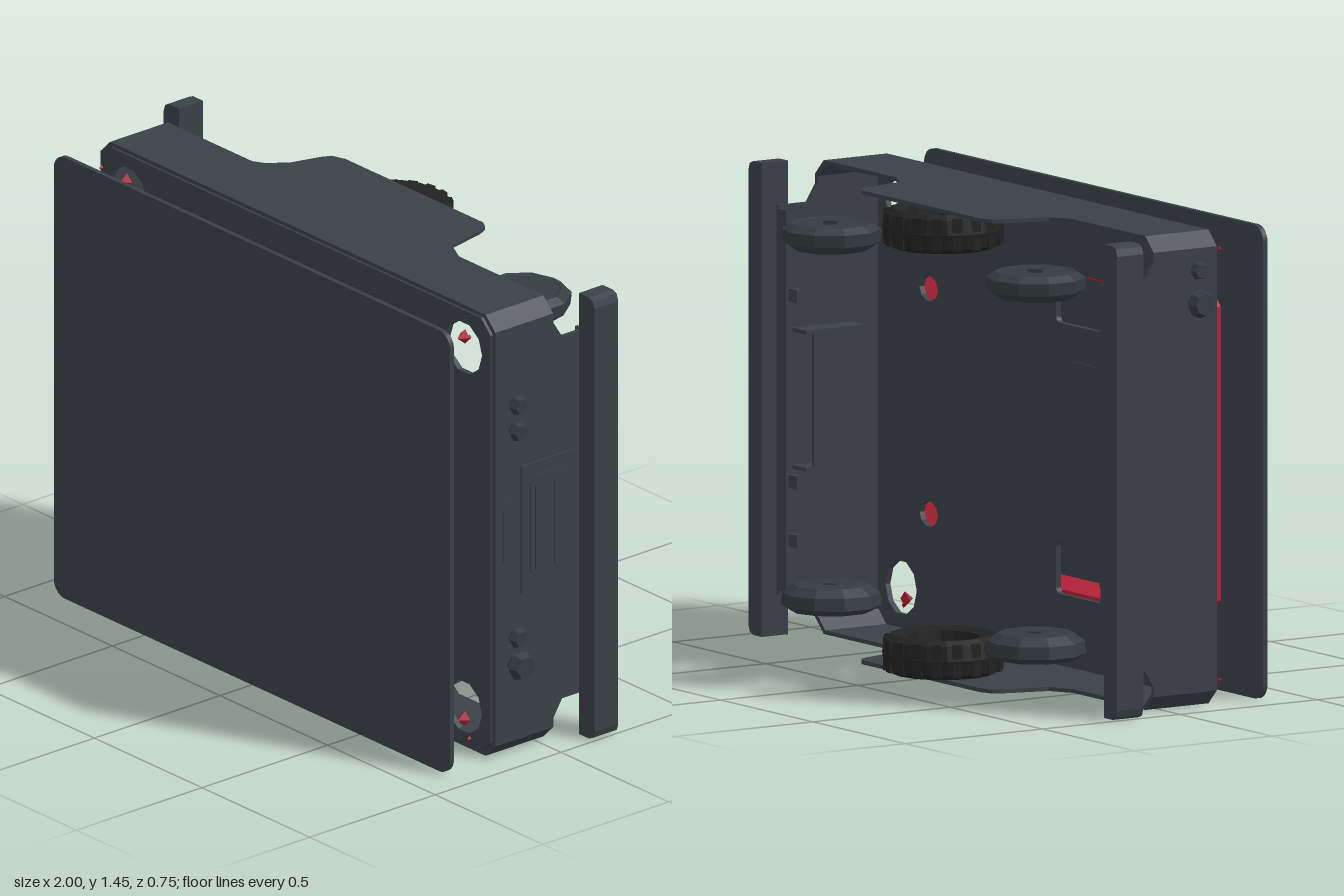
import * as THREE from 'three';

const H = 1.45, MID = H / 2;

const material = (name, color, double) => {
  const m = new THREE.MeshStandardMaterial({ color, flatShading: true });
  m.name = name;
  if (double) m.side = THREE.DoubleSide;
  return m;
};

// Closed shape or path from a short list of points
const poly = (pts, Type = THREE.Shape) => new Type(pts.map(p => new THREE.Vector2(p[0], p[1])));

// Rectangle with cut corners
function cutRect(x0, y0, x1, y1, c, Type) {
  return poly([[x0 + c, y0], [x1 - c, y0], [x1, y0 + c], [x1, y1 - c],
    [x1 - c, y1], [x0 + c, y1], [x0, y1 - c], [x0, y0 + c]], Type);
}

function roundRect(x0, y0, x1, y1, r, Type = THREE.Shape) {
  const s = new Type();
  s.absarc(x1 - r, y0 + r, r, -Math.PI / 2, 0);
  s.absarc(x1 - r, y1 - r, r, 0, Math.PI / 2);
  s.absarc(x0 + r, y1 - r, r, Math.PI / 2, Math.PI);
  s.absarc(x0 + r, y0 + r, r, Math.PI, Math.PI * 1.5);
  s.closePath();
  return s;
}

const extrude = (shape, depth) =>
  new THREE.ExtrudeGeometry(shape, { depth, bevelEnabled: false, curveSegments: 5 });

export function createModel() {
  const model = new THREE.Group();
  const body = material('body grey', 0x3b4047);
  const wheelGrey = material('caster grey', 0x353c41);
  const black = material('tyre black', 0x222222);
  const red = material('lift red', 0xb02236, true);

  const add = (name, geo, mat, x = 0, y = 0, z = 0, parent = model) => {
    const m = new THREE.Mesh(geo, mat);
    m.name = name;
    m.position.set(x, y, z);
    parent.add(m);
    return m;
  };
  const box = (name, mat, x0, x1, y0, y1, z0, z1, parent) =>
    add(name, new THREE.BoxGeometry(x1 - x0, y1 - y0, z1 - z0), mat,
      (x0 + x1) / 2, (y0 + y1) / 2, (z0 + z1) / 2, parent);

  // Load plate and the hollow lift column behind it
  add('loadPlate', extrude(roundRect(-0.92, 0, 0.92, H, 0.05), 0.016), body, 0, 0, 0.357);
  const column = cutRect(-0.69, 0.23, 0.69, 1.22, 0.045);
  column.holes.push(cutRect(-0.68, 0.24, 0.68, 1.21, 0.043, THREE.Path));
  add('liftColumn', extrude(column, 0.16), red, 0, 0, 0.198);

  // Deck with slots, round openings and corner openings
  const deck = cutRect(-0.905, 0.012, 0.905, H - 0.012, 0.045);
  for (const s of [-1, 1]) {
    const slotY = MID + s * 0.415;
    deck.holes.push(roundRect(-0.43, slotY - 0.08, -0.06, slotY + 0.08, 0.02, THREE.Path));
    for (const t of [-1, 1]) {
      const post = new THREE.Path();
      post.absarc(t * 0.78, MID + s * 0.59, 0.085, 0, Math.PI * 2);
      const port = new THREE.Path();
      port.absellipse(t * 0.63, MID + s * 0.345, 0.05, 0.04, 0, Math.PI * 2);
      deck.holes.push(post, port);
    }
  }
  add('deck', extrude(deck, 0.018), body, 0, 0, 0.18);
  add('deckHatch', extrude(roundRect(-0.34, 0.49, -0.12, 0.95, 0.025), 0.005), body, 0, 0, 0.176);

  // Outer wall with cut corners
  const wall = cutRect(-0.917, 0, 0.917, H, 0.045);
  wall.holes.push(cutRect(-0.905, 0.012, 0.905, H - 0.012, 0.041, THREE.Path));
  add('outerWall', extrude(wall, 0.23), body, 0, 0, -0.04);

  // Hump-shaped skirts that cover the drive wheels
  const skirt = poly([[-0.48, -0.04], [-0.41, -0.08], [-0.37, -0.22], [-0.355, -0.25], [-0.31, -0.265],
    [0.33, -0.265], [0.355, -0.25], [0.37, -0.22], [0.4, -0.08], [0.48, -0.04]]);
  const skirtGeo = extrude(skirt, 0.012).rotateX(Math.PI / 2);
  add('upperSkirt', skirtGeo, body, 0, H, 0);
  add('lowerSkirt', skirtGeo, body, 0, 0.012, 0);

  // Tyres and casters
  const tyreGeo = new THREE.LatheGeometry([[0.11, -0.05], [0.155, -0.06], [0.178, -0.045], [0.186, 0],
    [0.178, 0.045], [0.155, 0.06], [0.11, 0.05], [0.105, 0], [0.11, -0.05]]
    .map(p => new THREE.Vector2(...p)), 18);
  const treadGeo = new THREE.BoxGeometry(0.03, 0.1, 0.012);
  const casterGeo = new THREE.LatheGeometry([[0, -0.042], [0.115, -0.042], [0.148, -0.018], [0.152, 0.02],
    [0.125, 0.038], [0.115, 0.034], [0, 0.036]].map(p => new THREE.Vector2(...p)), 10);
  for (const s of [-1, 1]) {
    const drive = new THREE.Group();
    drive.name = 'driveWheel';
    drive.position.set(0, MID + s * 0.652, -0.19);
    model.add(drive);
    add('tyre', tyreGeo, black, 0, 0, 0, drive);
    for (let i = 0; i < 18; i++) {
      const a = (i + 0.5) * Math.PI / 9;
      const lug = add('treadLug', treadGeo, black, Math.sin(a) * 0.176, 0, Math.cos(a) * 0.176, drive);
      lug.rotation.y = a;
    }
    for (const t of [-1, 1]) {
      const caster = new THREE.Group();
      caster.name = 'caster';
      caster.position.set(t * 0.555, MID + s * 0.555, -0.225);
      if (s < 0) caster.rotation.x = Math.PI;
      model.add(caster);
      add('casterWheel', casterGeo, wheelGrey, 0, 0, 0, caster);
      for (const u of [-1, 1])
        add('casterHub', new THREE.CylinderGeometry(0.03, 0.03, 0.012, 4), wheelGrey, 0, u * 0.041, 0, caster);
    }
  }

  // End assemblies; the second is the first turned half way round
  const endShape = poly([[-0.18, 0.045], [0.04, 0.045], [0.04, 0.075], [0.075, 0.13], [0.18, 0.13],
    [0.18, H - 0.13], [0.075, H - 0.13], [0.04, H - 0.075], [0.04, H - 0.045], [-0.18, H - 0.045]]);
  const endGeo = extrude(endShape, 0.012).rotateY(Math.PI / 2);
  const bumperGeo = extrude(poly([[0.928, 0], [0.975, 0], [0.993, 0.008], [1, 0.03], [1, H - 0.03],
    [0.993, H - 0.008], [0.975, H], [0.928, H]]), 0.095);
  for (const s of [1, -1]) {
    const end = new THREE.Group();
    end.name = s > 0 ? 'leftEnd' : 'rightEnd';
    if (s < 0) {
      end.rotation.z = Math.PI;
      end.position.y = H;
    }
    model.add(end);
    add('endPanel', endGeo, body, 0.906, 0, 0, end);
    add('bumper', bumperGeo, body, 0, 0, -0.228, end);
    box('panelLip', body, s > 0 ? 0.865 : 0.84, 0.915, 0.14, H - 0.14, -0.182, -0.172, end);
    // Inner pocket behind the service panel
    for (const y of [0.515, 0.935]) box('pocketShelf', body, 0.835, 0.91, y - 0.006, y + 0.006, -0.13, 0.09, end);
    box('pocketBack', body, 0.835, 0.845, 0.515, 0.935, -0.1, 0.09, end);
    for (const y of [0.3, 0.48, 1.05]) box('mountTab', body, 0.82, 0.87, y - 0.02, y + 0.02, -0.172, -0.15, end);
  }

  // Service panel and vent on the left end
  const side = (name, shape, depth, mat, x) => add(name, extrude(shape, depth).rotateY(Math.PI / 2), mat, x);
  side('servicePanel', poly([[-0.09, 0.52], [0.115, 0.52], [0.115, 0.94], [-0.09, 0.94]]), 0.008, body, 0.917);
  side('panelInset', cutRect(-0.06, 0.565, 0.085, 0.9, 0.025), 0.004, body, 0.925);
  for (const z of [-0.015, 0.06])
    side('gripBar', cutRect(z - 0.027, 0.57, z + 0.027, 0.885, 0.02), 0.005, body, 0.928);
  side('vent', cutRect(-0.163, 0.62, -0.11, 0.83, 0.02), 0.006, body, 0.917);

  // Buttons on both ends
  function button(s, y, z, r, reach, sides) {
    const g = new THREE.Group();
    g.name = 'button';
    g.position.set(s * 0.917, y, z);
    g.rotation.z = -s * Math.PI / 2;
    model.add(g);
    add('buttonBase', new THREE.CylinderGeometry(r * 0.6, r * 0.6, reach, 6), wheelGrey, 0, reach / 2, 0, g);
    add('buttonCap', new THREE.CylinderGeometry(r * 0.75, r, reach * 0.5, sides), wheelGrey, 0, reach * 0.75, 0, g);
  }
  for (const y of [1.155, 1.07, 0.39]) button(1, y, 0.118, 0.034, 0.042, 6);
  button(1, 0.3, 0.115, 0.048, 0.056, 6);
  button(-1, 1.34, 0.11, 0.03, 0.042, 6);
  button(-1, 1.24, 0.11, 0.045, 0.06, 8);

  // Small red guide pins near the deck corners
  for (const s of [-1, 1]) for (const t of [-1, 1]) {
    const pin = add('guidePin', new THREE.ConeGeometry(0.024, 0.03, 4), red, t * 0.785, MID + s * 0.628, 0.212);
    pin.rotation.x = Math.PI / 2;
    for (const [x, y] of [[0.855, 0.66], [0.77, 0.585], [0.755, 0.56]]) {
      const tip = add('guideTip', new THREE.ConeGeometry(0.008, 0.012, 4), red, t * x, MID + s * y, 0.244);
      tip.rotation.x = Math.PI / 2;
    }
  }
  return model;
}
